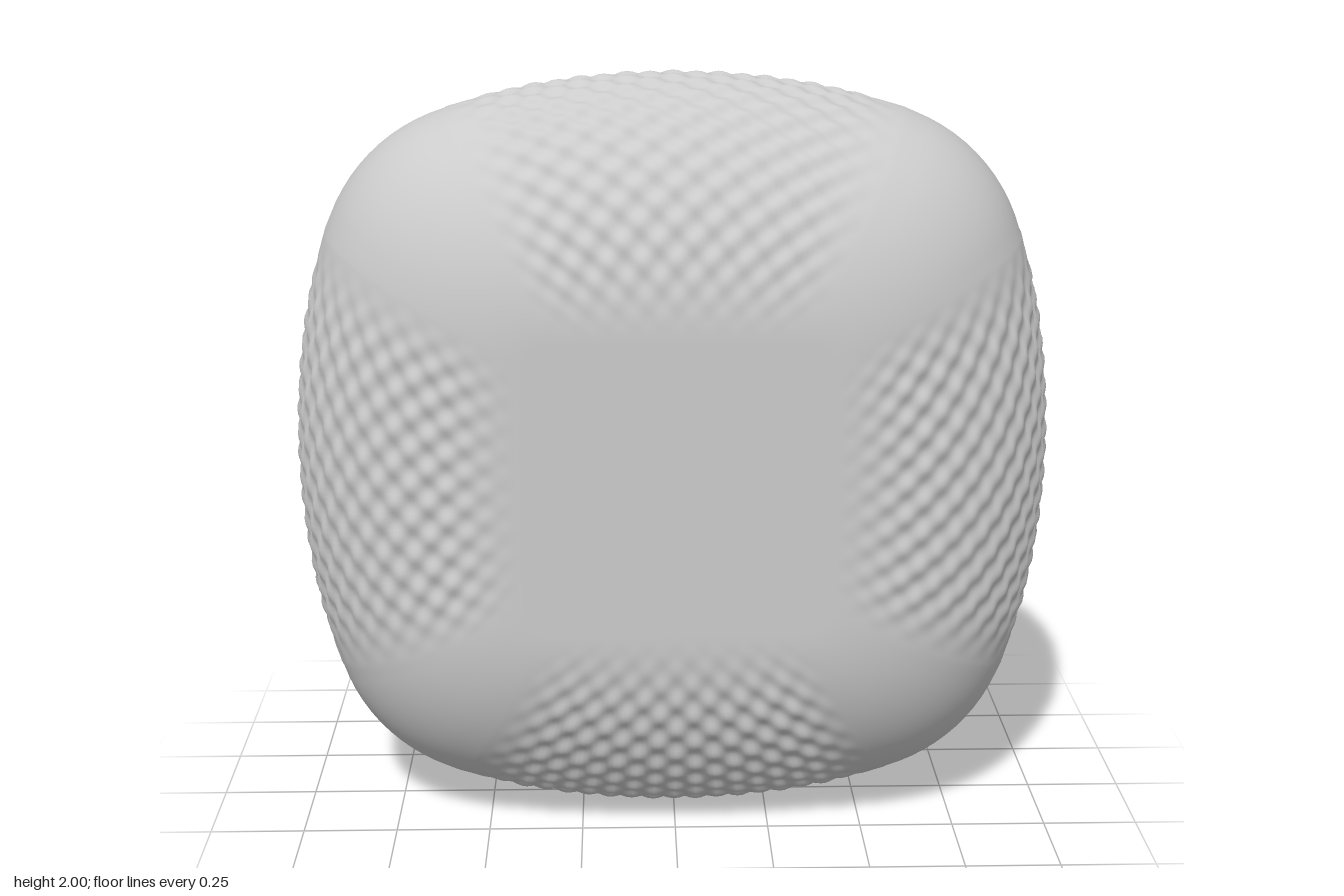
import * as THREE from 'three';

const TILT = THREE.MathUtils.degToRad(17); // edge arcs swing this far before the corner arcs begin
const DEPTH = 0.425, FLAT = 0.38, FLAT_R = 0.05;
const STRIP = 82, CORNER = 12, ROWS = 182; // segments
const BUMP = 0.007, COLUMNS = 10, RIDGES = 19;

// Stations around the cushion: inner point (flat panel), outer point (outline), normal, bump phase
function makeStations() {
  const list = [];
  for (let side = 0; side < 4; side++) {
    const turn = side * Math.PI / 2;
    const add = (inner, outer, angle, phase, strength) => {
      const o = new THREE.Vector2();
      list.push({
        inner: new THREE.Vector2(...inner).rotateAround(o, turn),
        outer: new THREE.Vector2(...outer).rotateAround(o, turn),
        normal: new THREE.Vector2(Math.cos(angle + turn), Math.sin(angle + turn)),
        phase, strength,
      });
    };
    // gently bowed, textured edge
    for (let i = 0; i < STRIP; i++) {
      const t = -1 + 2 * i / STRIP, a = TILT * t;
      add([FLAT, t * (FLAT - FLAT_R)], [-1.055 + 2.05 * Math.cos(a), 2.05 * Math.sin(a)], a,
        t * Math.PI * COLUMNS, 1 - THREE.MathUtils.smoothstep(Math.abs(t), 0.65, 1));
    }
    // smooth corner
    for (let i = 0; i < CORNER; i++) {
      const f = i / CORNER, a = TILT + f * (Math.PI / 2 - 2 * TILT), b = f * Math.PI / 2;
      add([FLAT - FLAT_R + FLAT_R * Math.cos(b), FLAT - FLAT_R + FLAT_R * Math.sin(b)],
        [0.458 + 0.467 * Math.cos(a), 0.458 + 0.467 * Math.sin(a)], a, 0, 0);
    }
  }
  return list;
}

function cushionGeometry() {
  const stations = makeStations(), n = stations.length;
  const pos = [], index = [];
  // Rings sweep from the front panel, over the rim, to the back panel
  for (let j = 0; j <= ROWS; j++) {
    const phi = Math.PI * j / ROWS, s = Math.sin(phi), c = Math.cos(phi);
    const fade = THREE.MathUtils.smoothstep(s, 0.02, 0.4);
    for (const p of stations) {
      const reach = p.outer.distanceTo(p.inner);
      const normal = new THREE.Vector3(p.normal.x * s / reach, p.normal.y * s / reach, c / DEPTH).normalize();
      const d = BUMP * fade * p.strength * Math.cos(p.phase) * Math.cos(2 * RIDGES * phi);
      const xy = p.inner.clone().lerp(p.outer, s);
      pos.push(xy.x + normal.x * d, xy.y + normal.y * d, DEPTH * c + normal.z * d);
    }
  }
  for (let j = 0; j < ROWS; j++) {
    for (let i = 0; i < n; i++) {
      const k = (i + 1) % n, a = j * n + i, b = a + n, c = (j + 1) * n + k, d = j * n + k;
      index.push(a, b, c, a, c, d);
    }
  }
  // Flat square panels, front and back
  const front = pos.length / 3, back = front + 1, last = ROWS * n;
  pos.push(0, 0, DEPTH, 0, 0, -DEPTH);
  for (let i = 0; i < n; i++) {
    const k = (i + 1) % n;
    index.push(front, i, k, back, last + k, last + i);
  }
  const geo = new THREE.BufferGeometry();
  geo.setAttribute('position', new THREE.Float32BufferAttribute(pos, 3));
  geo.setIndex(index);
  geo.computeVertexNormals();
  return geo;
}

export function createModel() {
  const group = new THREE.Group();
  group.name = 'cushion';
  const body = new THREE.Mesh(cushionGeometry(), new THREE.MeshStandardMaterial({ color: 0xcccccc }));
  body.name = 'texturedBody';
  body.position.y = 1;
  group.add(body);
  return group;
}
